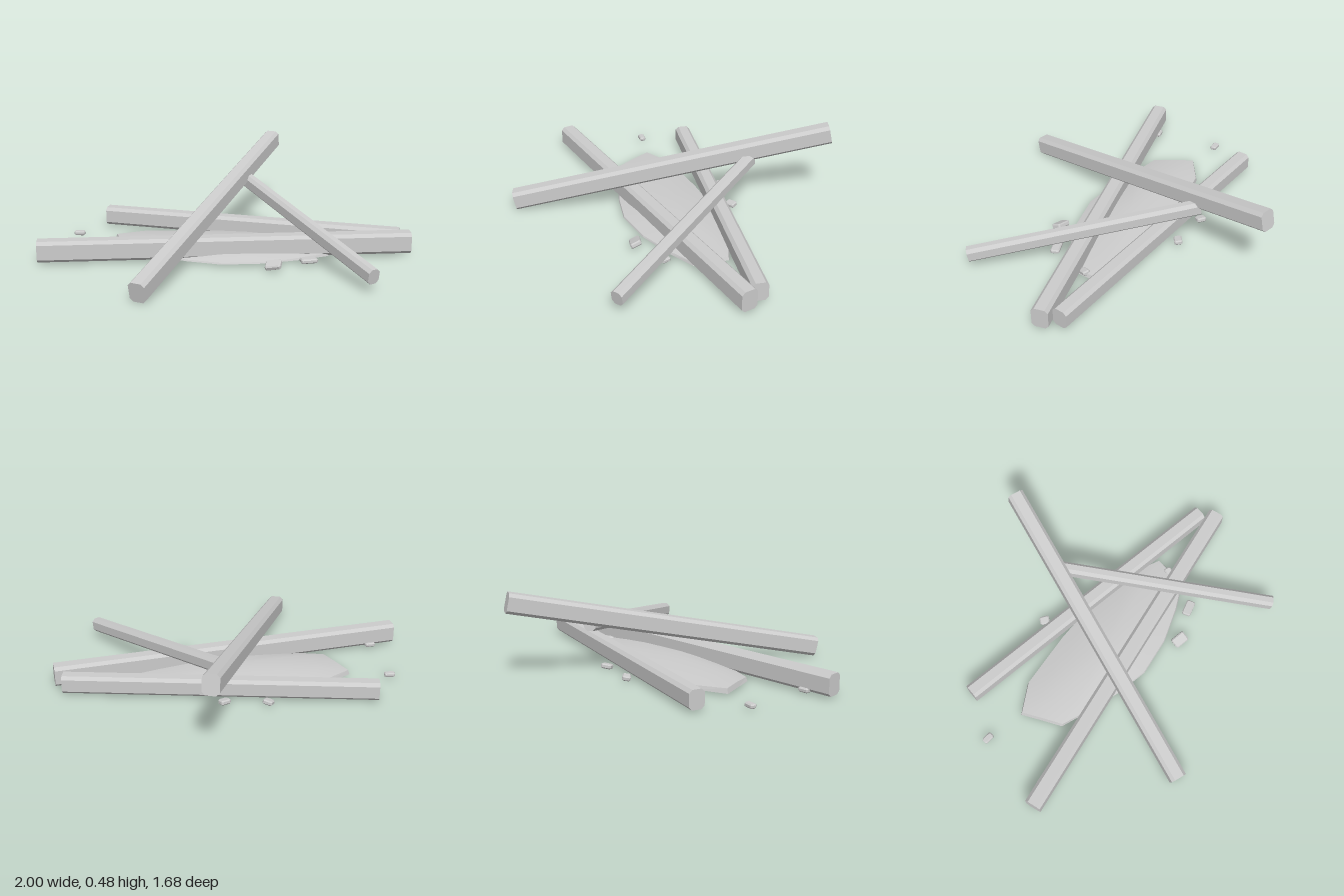
import * as THREE from 'three';

const grey = new THREE.MeshStandardMaterial({ color: 0xcccccc });

// Rectangle with chamfered corners, centred on the origin
function chamferedRect(w, h, c) {
  const x = w / 2, y = h / 2;
  return new THREE.Shape([
    [x - c, -y], [x, -y + c], [x, y - c], [x - c, y],
    [-x + c, y], [-x, y - c], [-x, -y + c], [-x + c, -y],
  ].map(([a, b]) => new THREE.Vector2(a, b)));
}

// Straight timber running between the centres of its two ends
function beam(name, from, to, w, h) {
  const a = new THREE.Vector3(...from), b = new THREE.Vector3(...to);
  const geo = new THREE.ExtrudeGeometry(chamferedRect(w, h, 0.017), {
    depth: a.distanceTo(b), bevelEnabled: false,
  });
  const mesh = new THREE.Mesh(geo, grey);
  mesh.name = name;
  mesh.position.copy(a);
  mesh.lookAt(b);
  return mesh;
}

// Small bevelled chip of wood
function chip([x, y, z], [w, h, d], [rx, ry, rz]) {
  const b = 0.006;
  const geo = new THREE.ExtrudeGeometry(chamferedRect(w - 2 * b, d - 2 * b, 0.004), {
    depth: h - 2 * b, bevelEnabled: true, bevelSize: b, bevelThickness: b, bevelSegments: 1,
  });
  geo.center().rotateX(-Math.PI / 2);
  const mesh = new THREE.Mesh(geo, grey);
  mesh.name = 'woodChip';
  mesh.position.set(x, y, z);
  mesh.rotation.set(rx, ry, rz);
  return mesh;
}

// Low mound of dust: rings of an irregular outline shrinking towards the crown
function dustMound() {
  // x, z and rim height of each outline point
  const outline = [
    [-0.64, -0.08, 0.045], [-0.59, 0.04, 0.045], [-0.55, 0.14, 0.04], [-0.4, 0.2, 0.03],
    [-0.2, 0.27, 0.026], [-0.02, 0.31, 0.026], [0.2, 0.285, 0.026], [0.4, 0.22, 0.03],
    [0.55, 0.15, 0.035], [0.58, -0.04, 0.04], [0.4, -0.13, 0.035], [0.12, -0.18, 0.04],
    [-0.15, -0.185, 0.04], [-0.48, -0.165, 0.04],
  ];
  const centre = [-0.02, 0.05], base = 0.018, crown = 0.068;
  const n = outline.length, scales = [0.985, 0.75, 0.5, 0.25];
  const at = ([x, z], s) => [centre[0] + (x - centre[0]) * s, centre[1] + (z - centre[1]) * s];

  // Smooth upper surface
  const top = [], topIndex = [];
  for (const s of scales) for (const p of outline) {
    const [x, z] = at(p, s);
    const rise = 1 - (s / scales[0]) ** 2;
    top.push(x, p[2] + (crown - p[2]) * rise, z);
  }
  top.push(centre[0], crown, centre[1]);
  const last = scales.length * n;
  for (let i = 0; i < n; i++) {
    const j = (i + 1) % n;
    for (let r = 0; r < scales.length - 1; r++) {
      const a = r * n + i, b = r * n + j;
      topIndex.push(a, b, b + n, a, b + n, a + n);
    }
    topIndex.push(last - n + i, last - n + j, last);
  }

  // Faceted rim and flat underside
  const skirt = [];
  for (let i = 0; i < n; i++) {
    const p = outline[i], q = outline[(i + 1) % n];
    const [px, pz] = at(p, scales[0]), [qx, qz] = at(q, scales[0]);
    const a = [p[0], base, p[1]], b = [q[0], base, q[1]];
    const c = [qx, q[2], qz], d = [px, p[2], pz];
    skirt.push(...a, ...b, ...c, ...a, ...c, ...d, ...b, ...a, centre[0], base, centre[1]);
  }

  const group = new THREE.Group();
  group.name = 'dustMound';
  for (const [name, pos, index] of [['moundTop', top, topIndex], ['moundRimAndBase', skirt, null]]) {
    const geo = new THREE.BufferGeometry();
    geo.setAttribute('position', new THREE.Float32BufferAttribute(pos, 3));
    if (index) geo.setIndex(index);
    geo.computeVertexNormals();
    const mesh = new THREE.Mesh(geo, grey);
    mesh.name = name;
    group.add(mesh);
  }
  return group;
}

export function createModel() {
  const model = new THREE.Group();
  model.name = 'collapsedBeams';

  // Two beams lying flat, two leaning across them
  model.add(
    beam('frontFlatBeam', [-0.993, 0.078, 0.305], [0.993, 0.078, 0.06], 0.09, 0.115),
    beam('backFlatBeam', [-0.725, 0.071, -0.36], [0.945, 0.071, -0.023], 0.085, 0.103),
    beam('longLeaningBeam', [-0.392, 0.06, 0.817], [0.238, 0.435, -0.815], 0.088, 0.107),
    beam('shortLeaningBeam', [0.742, 0.092, 0.635], [0.09, 0.288, -0.405], 0.065, 0.08),
  );

  model.add(dustMound());

  // Scattered chips: position, size, rotation
  const chips = new THREE.Group();
  chips.name = 'woodChips';
  for (const args of [
    [[-0.855, 0.03, -0.135], [0.06, 0.024, 0.035], [0, -0.1, 0]],
    [[-0.13, 0.03, -0.33], [0.055, 0.026, 0.045], [0.2, -0.65, 0.2]],
    [[0.255, 0.037, 0.35], [0.085, 0.028, 0.06], [0.4, -0.15, 0.3]],
    [[0.44, 0.038, 0.275], [0.09, 0.024, 0.05], [0, 0.25, 0]],
    [[0.55, 0.035, 0.05], [0.055, 0.026, 0.04], [0.1, 1.1, 0.1]],
    [[0.1, 0.03, -0.29], [0.06, 0.026, 0.045], [0.15, 0.5, 0]],
    [[-0.85, 0.028, 0.25], [0.06, 0.024, 0.045], [0, 0.1, 0]],
    [[-0.05, 0.026, 0.14], [0.06, 0.024, 0.04], [0.15, 0.4, 0.1]],
    [[-0.3, 0.026, 0.02], [0.05, 0.024, 0.04], [0.1, -0.5, 0.15]],
  ]) chips.add(chip(...args));
  model.add(chips);

  return model;
}
